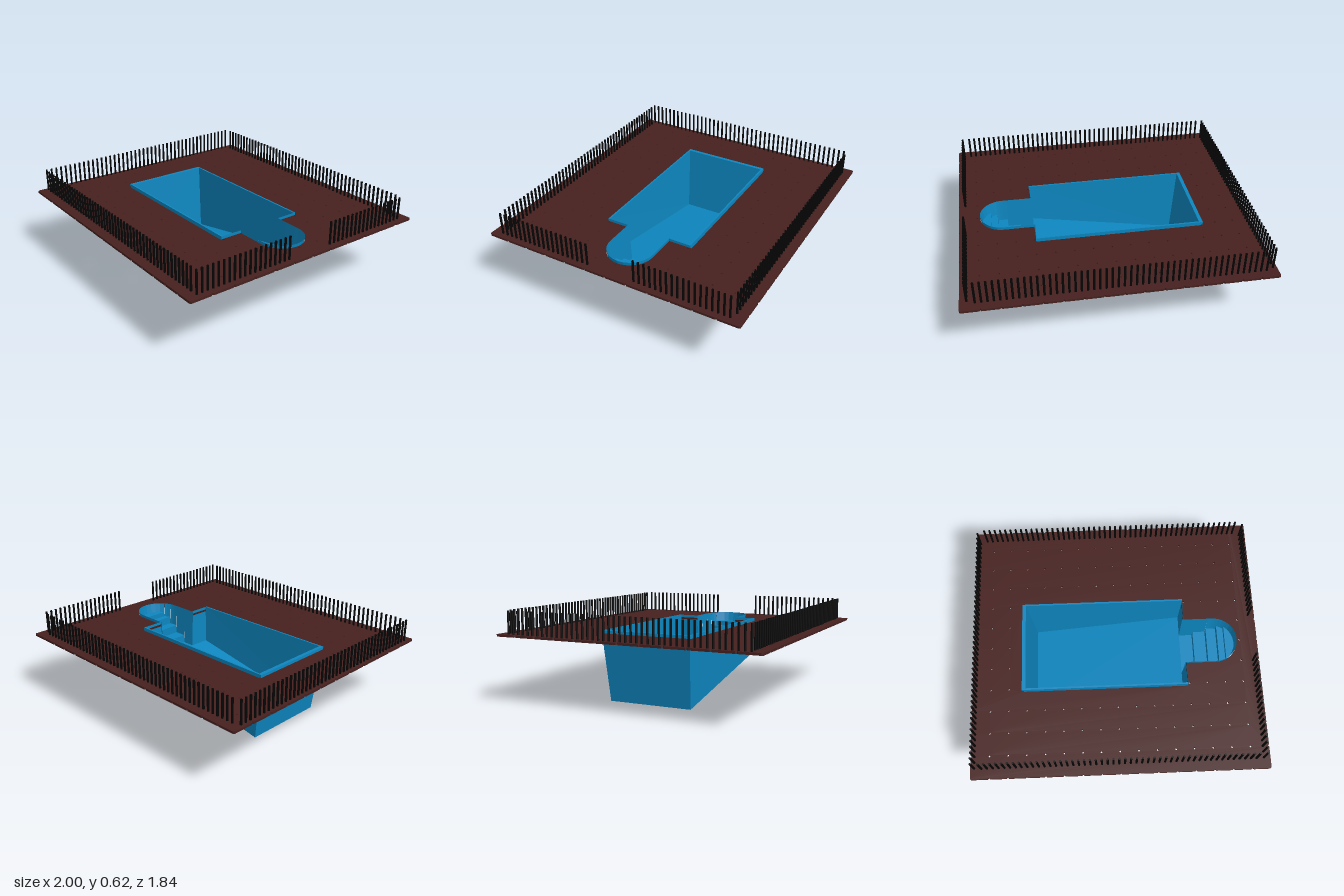
import * as THREE from 'three';

const BLUE = new THREE.MeshStandardMaterial({ color: 0x0d86bf, side: THREE.DoubleSide, flatShading: true });
const BROWN = new THREE.MeshStandardMaterial({ color: 0x46211f });
const BLACK = new THREE.MeshStandardMaterial({ color: 0x050505 });

const RIM = 0.485, DECK_LOW = 0.45, DECK_TOP = 0.465;
const ARC_X = 0.695, ARC_R = 0.148, RIM_SCALE = 0.16 / 0.148;

// Mesh built from a list of four-cornered faces
function quadMesh(name, quads) {
  const pos = [];
  for (const [a, b, c, d] of quads) pos.push(...a, ...b, ...c, ...a, ...c, ...d);
  const geo = new THREE.BufferGeometry();
  geo.setAttribute('position', new THREE.Float32BufferAttribute(pos, 3));
  geo.computeVertexNormals();
  const mesh = new THREE.Mesh(geo, BLUE);
  mesh.name = name;
  return mesh;
}

// Sloping main basin: inner skin, flat lip, raised rim and outer skin
function makeBasin() {
  const bottom = { l: -0.6, r: 0.48, z: 0.297, yl: 0, yr: 0.205 };
  const level = (l, z, y) => ({ l, r: 0.49, z, yl: y, yr: y });
  const levels = [bottom, level(-0.635, 0.308, RIM), level(-0.66, 0.32, RIM), level(-0.66, 0.32, DECK_LOW), bottom];
  const left = (v, s) => [v.l, v.yl, s * v.z];
  const right = (v, s) => [v.r, v.yr, s * v.z];
  const quads = [[left(bottom, 1), right(bottom, 1), right(bottom, -1), left(bottom, -1)]];
  for (let i = 0; i < levels.length - 1; i++) {
    const a = levels[i], b = levels[i + 1];
    quads.push([left(a, 1), left(a, -1), left(b, -1), left(b, 1)]);
    for (const s of [1, -1]) quads.push([left(a, s), right(a, s), right(b, s), left(b, s)]);
  }
  // shallow end wall on both sides of the stair opening
  for (const s of [1, -1]) {
    quads.push([right(bottom, s), [0.48, 0.205, s * ARC_R], [0.49, RIM, s * 0.16], right(levels[2], s)]);
  }
  return quadMesh('poolBasin', quads);
}

// Round-ended stair bay: treads, risers and a slightly flared wall
function makeStairs() {
  const xs = [0.48, 0.575, 0.665, 0.695, 0.715, 0.735, 0.76, 0.78, 0.805, 0.825, 0.838, ARC_X + ARC_R];
  const risers = [0.575, 0.665, 0.735, 0.78];
  const heights = [0.205, 0.265, 0.325, 0.38, 0.415];
  const width = x => x <= ARC_X ? ARC_R : Math.sqrt(Math.max(0, ARC_R ** 2 - (x - ARC_X) ** 2));
  const floor = x => heights[risers.filter(r => r < x).length];
  const rim = (x, s) => [x <= ARC_X ? x : ARC_X + (x - ARC_X) * RIM_SCALE, RIM, s * width(x) * RIM_SCALE];
  const quads = [];
  for (let i = 0; i < xs.length - 1; i++) {
    const a = xs[i], b = xs[i + 1], y = floor((a + b) / 2), wa = width(a), wb = width(b);
    quads.push([[a, y, wa], [b, y, wb], [b, y, -wb], [a, y, -wa]]);
    for (const s of [1, -1]) quads.push([[a, y, s * wa], [b, y, s * wb], rim(b, s), rim(a, s)]);
  }
  risers.forEach((x, i) => {
    const w = width(x), lo = heights[i], hi = heights[i + 1];
    quads.push([[x, lo, w], [x, lo, -w], [x, hi, -w], [x, hi, w]]);
  });
  return quadMesh('poolStairs', quads);
}

// Tiled deck with clipped tile corners and an opening for the pool
function makeDeck() {
  const nx = 16, nz = 12, X = 1, Z = 0.92, c = 0.008;
  const dx = 2 * X / nx, dz = 2 * Z / nz;
  const pts = [];
  const edge = (x0, z0, ux, uz, n, step) => {
    pts.push([x0 + ux * c, z0 + uz * c]);
    for (let i = 1; i < n; i++) {
      const x = x0 + ux * step * i, z = z0 + uz * step * i;
      pts.push([x - ux * c, z - uz * c], [x - uz * c, z + ux * c], [x + ux * c, z + uz * c]);
    }
    pts.push([x0 + ux * (step * n - c), z0 + uz * (step * n - c)]);
  };
  edge(-X, -Z, 1, 0, nx, dx);
  edge(X, -Z, 0, 1, nz, dz);
  edge(X, Z, -1, 0, nx, dx);
  edge(-X, Z, 0, -1, nz, dz);
  const shape = new THREE.Shape(pts.map(p => new THREE.Vector2(...p)));

  const pool = new THREE.Path();
  pool.moveTo(-0.65, -0.327).lineTo(0.488, -0.327).lineTo(0.488, -0.16).lineTo(ARC_X, -0.16);
  pool.absarc(ARC_X, 0, 0.16, -Math.PI / 2, Math.PI / 2, false);
  pool.lineTo(0.488, 0.16).lineTo(0.488, 0.327).lineTo(-0.65, 0.327).closePath();
  shape.holes.push(pool);

  for (let i = 1; i < nx; i++) for (let j = 1; j < nz; j++) {
    const x = -X + i * dx, z = -Z + j * dz;
    const inBasin = x > -0.67 && x < 0.497 && Math.abs(z) < 0.34;
    const inStairs = x > 0.48 && x < 0.865 && Math.abs(z) < 0.175;
    if (inBasin || inStairs) continue;
    shape.holes.push(new THREE.Path([[c, 0], [0, c], [-c, 0], [0, -c]].map(([u, v]) => new THREE.Vector2(x + u, z + v))));
  }
  const geo = new THREE.ExtrudeGeometry(shape, { depth: DECK_TOP - DECK_LOW, bevelEnabled: false, curveSegments: 16 });
  geo.rotateX(-Math.PI / 2).translate(0, DECK_LOW, 0);
  const deck = new THREE.Mesh(geo, BROWN);
  deck.name = 'tiledDeck';
  return deck;
}

// Fence of upright posts, open beside the stairs
function makeFence() {
  const fence = new THREE.Group();
  fence.name = 'fence';
  const height = 0.16;
  const geo = new THREE.CylinderGeometry(0.0075, 0.0075, height, 8);
  const post = (x, z) => {
    const mesh = new THREE.Mesh(geo, BLACK);
    mesh.name = 'fencePost';
    mesh.position.set(x, DECK_TOP - 0.003 + height / 2, z);
    fence.add(mesh);
  };
  for (let i = 0; i < 49; i++) {
    const x = -0.925 + i * 1.83 / 48;
    post(x, 0.848);
    post(x, -0.855);
  }
  for (let i = 0; i < 45; i++) {
    const z = -0.835 + i * 1.68 / 44;
    post(-0.973, z);
    if (z < -0.16 || z > 0.125) post(0.955, z);
  }
  return fence;
}

export function createModel() {
  const model = new THREE.Group();
  model.name = 'swimmingPool';
  model.add(makeBasin(), makeStairs(), makeDeck(), makeFence());
  return model;
}
